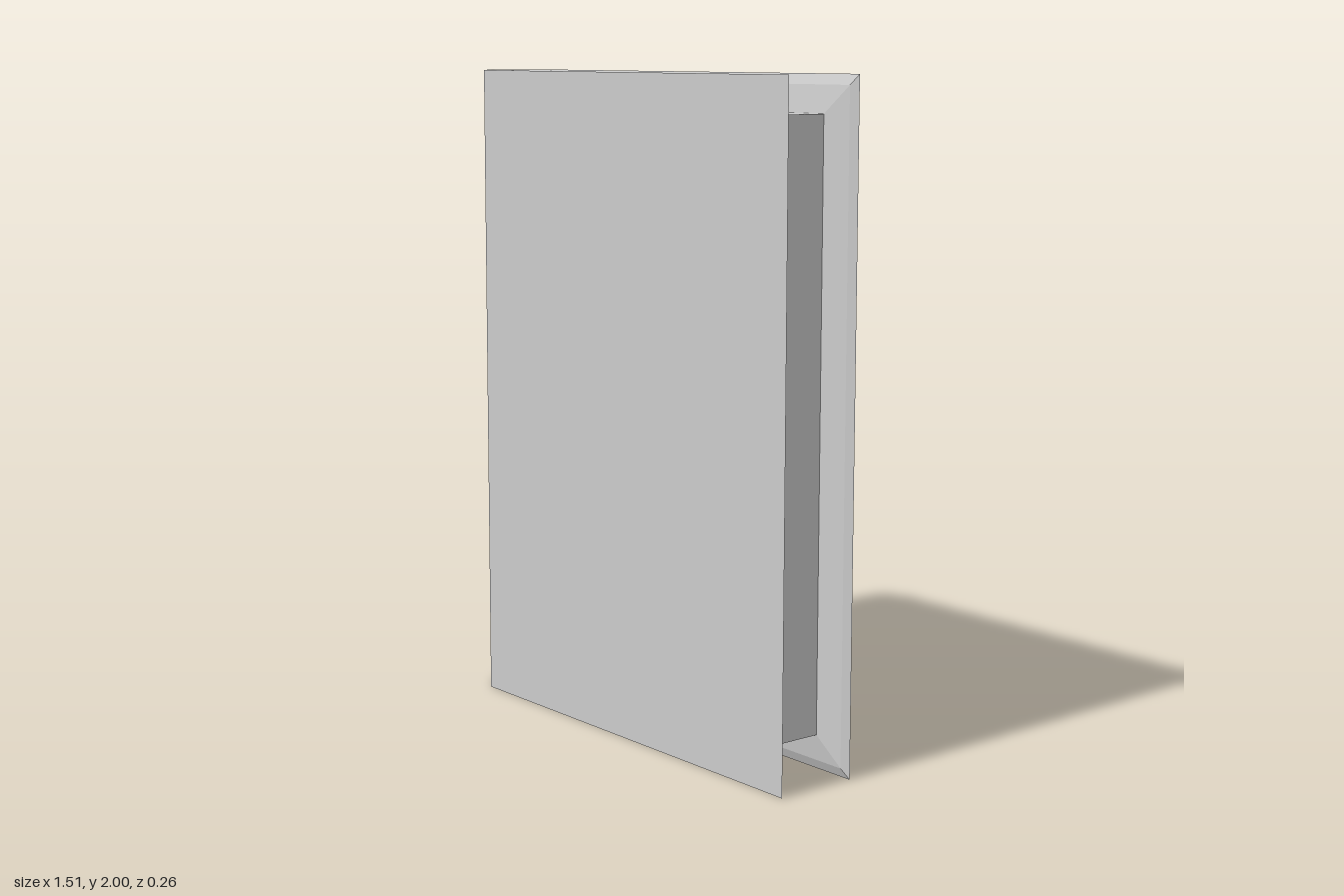
import * as THREE from 'three';

const material = new THREE.MeshStandardMaterial({ color: 0xcccccc, side: THREE.DoubleSide });

// Flat faces from corner loops (counter-clockwise seen from outside), each split as a fan.
function flatMesh(name, faces) {
  const positions = [];
  for (const face of faces) {
    for (let i = 1; i < face.length - 1; i++) positions.push(...face[0], ...face[i], ...face[i + 1]);
  }
  const geometry = new THREE.BufferGeometry();
  geometry.setAttribute('position', new THREE.Float32BufferAttribute(positions, 3));
  geometry.computeVertexNormals();
  const mesh = new THREE.Mesh(geometry, material);
  mesh.name = name;
  return mesh;
}

// Corners of a board outline, running along the bottom, fore edge and top.
const outline = (hinge, fore, inset, z) => [
  [hinge, inset, z], [fore, inset, z], [fore, 2 - inset, z], [hinge, 2 - inset, z],
];

const OUTER = [-0.67, 0.755, 0, 0.13];     // outside of the board
const LIP = [-0.645, 0.73, 0.03, 0.117];   // inner end of the bevelled rim
const PAGE = [-0.67, 0.64, 0.11, 0.105];   // where the board meets the pages

// One board: outer face, bevelled rim and the sloping inner margin; side is +1 front, -1 back.
function createCover(name, side) {
  const rings = [OUTER, LIP, PAGE].map(([h, f, i, z]) => outline(h, f, i, z * side));
  const faces = [rings[0]];
  for (let r = 0; r < 2; r++) {
    const a = rings[r], b = rings[r + 1];
    for (let i = 0; i < 3; i++) faces.push([a[i], b[i], b[i + 1], a[i + 1]]);
  }
  return flatMesh(name, side > 0 ? faces : faces.map((f) => [...f].reverse()));
}

// Rounded spine section, from the front board round to the back board.
const half = [[-0.67, 0.13], [-0.735, 0.082], [-0.755, 0.03]];
const spineProfile = [...half, ...half.map(([x, z]) => [x, -z]).reverse()];

function createSpine() {
  const positions = [], index = [];
  spineProfile.forEach(([x, z], i) => {
    positions.push(x, 0, z, x, 2, z);
    if (i > 0) {
      const a = 2 * (i - 1), b = 2 * i;
      index.push(a, a + 1, b, b, a + 1, b + 1);
    }
  });
  const geometry = new THREE.BufferGeometry();
  geometry.setAttribute('position', new THREE.Float32BufferAttribute(positions, 3));
  geometry.setIndex(index);
  geometry.computeVertexNormals();
  const mesh = new THREE.Mesh(geometry, material);
  mesh.name = 'spine';
  return mesh;
}

// Spine end caps, dipping slightly inward, and the undercut inner walls below them.
function createSpineEnds() {
  const faces = [];
  for (const top of [false, true]) {
    const at = (x, inset, z) => [x, top ? 2 - inset : inset, z];
    const rim = spineProfile.map(([x, z]) => at(x, 0, z));
    const front = at(LIP[0], LIP[2], LIP[3]), back = at(LIP[0], LIP[2], -LIP[3]);
    const end = [
      [front, ...rim.slice(0, 3)],
      [front, rim[2], rim[3], back],
      [back, ...rim.slice(3)],
      [front, back, at(PAGE[0], PAGE[2], -PAGE[3]), at(PAGE[0], PAGE[2], PAGE[3])],
    ];
    faces.push(...(top ? end.map((f) => [...f].reverse()) : end));
  }
  return flatMesh('spineEnds', faces);
}

// Page block: the fore edge, top and bottom of the pages.
function createPages() {
  const f = outline(PAGE[0], PAGE[1], PAGE[2], PAGE[3]);
  const b = outline(PAGE[0], PAGE[1], PAGE[2], -PAGE[3]);
  return flatMesh('pages', [0, 1, 2].map((i) => [f[i], b[i], b[i + 1], f[i + 1]]));
}

export function createModel() {
  const book = new THREE.Group();
  book.name = 'book';
  book.add(
    createCover('frontCover', 1),
    createCover('backCover', -1),
    createSpine(),
    createSpineEnds(),
    createPages(),
  );
  return book;
}
